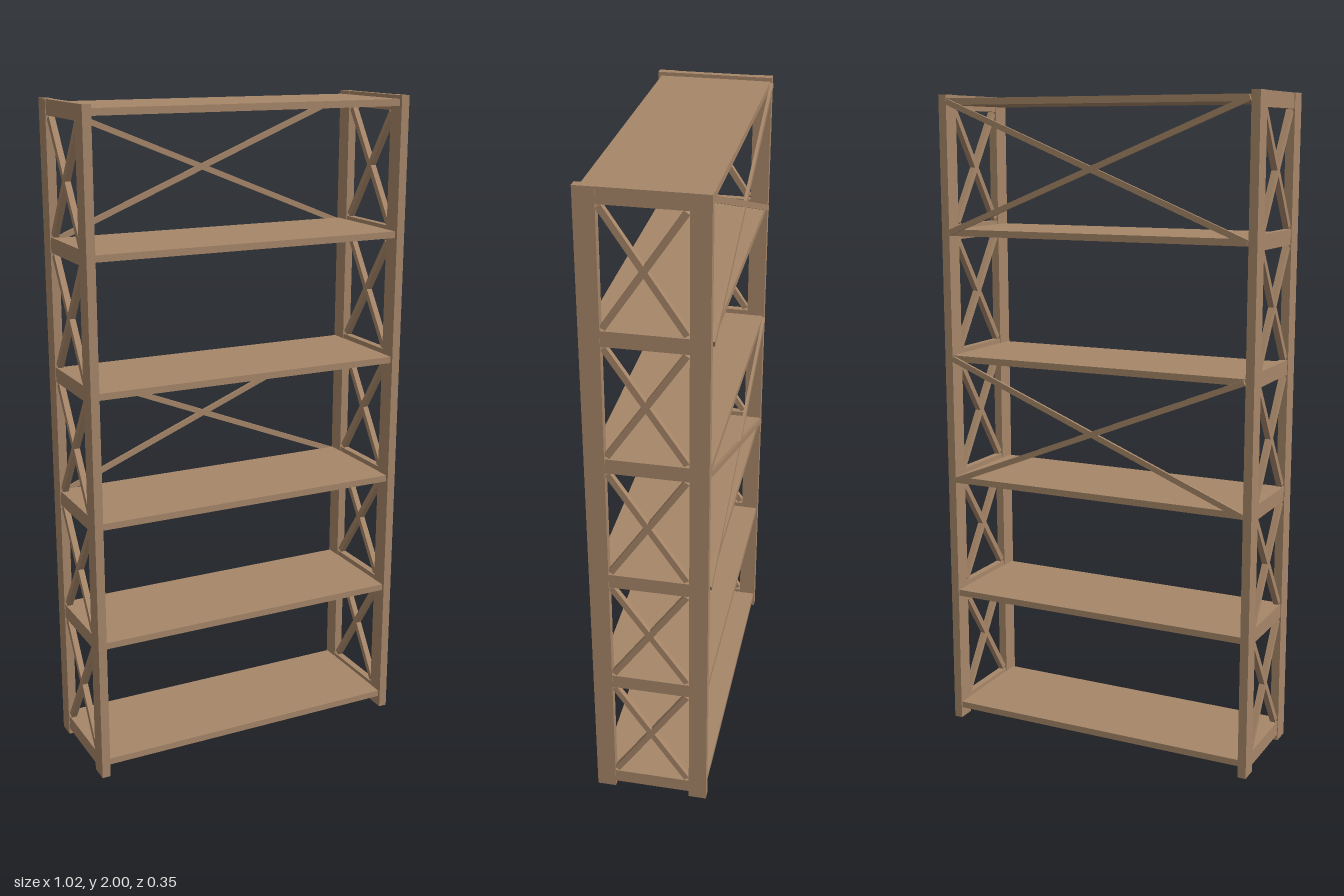
import * as THREE from 'three';

const wood = new THREE.MeshStandardMaterial({ color: 0xa68668 });
wood.name = 'wood';

function box(parent, name, size, pos) {
  const mesh = new THREE.Mesh(new THREE.BoxGeometry(...size), wood);
  mesh.name = name;
  mesh.position.set(...pos);
  parent.add(mesh);
  return mesh;
}

const shelfY = [0.044, 0.432, 0.81, 1.2, 1.59, 1.979]; // shelf centres
const railY = [0.042, 0.434, 0.812, 1.202, 1.589, 1.977]; // side rail centres
const railHeight = 0.045;

// Ladder-like side frame with a cross in every bay
function createSide(side) {
  const frame = new THREE.Group();
  frame.name = side > 0 ? 'leftFrame' : 'rightFrame';
  const x = side * 0.498;

  box(frame, 'frontPost', [0.026, 2, 0.058], [x, 1, 0.148]);
  box(frame, 'backPost', [0.026, 2, 0.055], [x, 1, -0.1445]);

  for (const y of railY) box(frame, 'sideRail', [0.022, railHeight, 0.236], [x, y, 0.001]);

  for (let i = 0; i < railY.length - 1; i++) {
    const low = railY[i] + railHeight / 2;
    const high = railY[i + 1] - railHeight / 2;
    const h = high - low - 0.012;
    const w = 0.222;
    for (const s of [-1, 1]) {
      const brace = box(frame, 'sideBrace', [0.018, Math.hypot(h, w), 0.018], [x, (low + high) / 2, 0.002]);
      brace.rotation.x = s * Math.atan2(w, h);
    }
  }
  return frame;
}

// Thin cross fixed to the back edges of two neighbouring shelves
function addBackCross(parent, lowY, highY) {
  const w = 0.965;
  const h = highY - lowY;
  for (const s of [-1, 1]) {
    const brace = box(parent, 'backBrace', [Math.hypot(w, h), 0.017, 0.009], [0, (lowY + highY) / 2, -0.1725]);
    brace.rotation.z = s * Math.atan2(h, w);
  }
}

export function createModel() {
  const model = new THREE.Group();
  model.name = 'shelvingUnit';

  for (const side of [-1, 1]) model.add(createSide(side));
  for (const y of shelfY) box(model, 'shelf', [0.972, 0.02, 0.335], [0, y, -0.0005]);

  addBackCross(model, shelfY[4], shelfY[5]);
  addBackCross(model, shelfY[2], shelfY[3]);

  return model;
}
